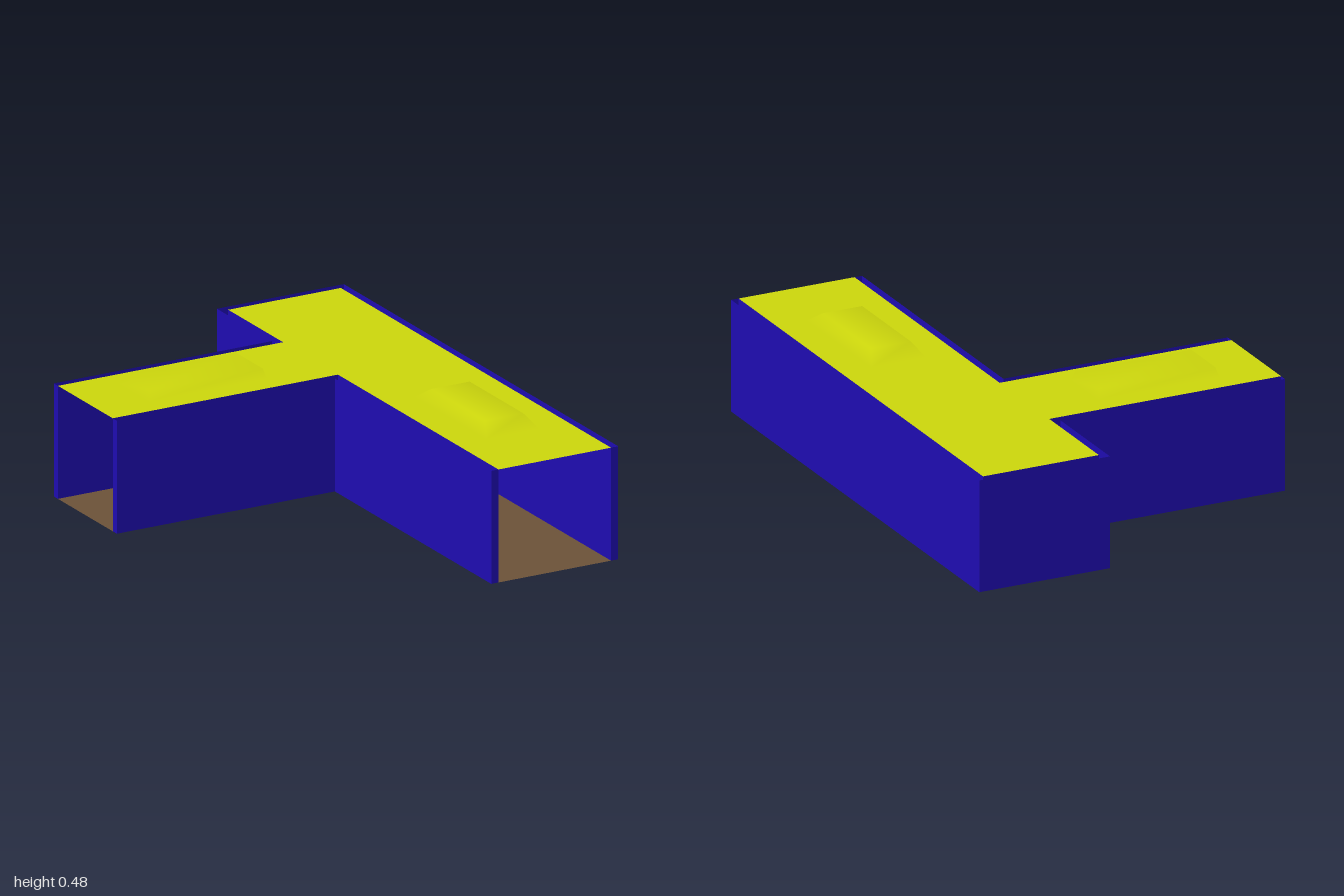
import * as THREE from 'three';
import { mergeVertices } from 'three/addons/utils/BufferGeometryUtils.js';

const H = 0.435; // wall height
const T = 0.03; // wall thickness

const paint = (color) =>
  new THREE.MeshStandardMaterial({ color, side: THREE.DoubleSide });

function addMesh(parent, name, geometry, material) {
  const mesh = new THREE.Mesh(geometry, material);
  mesh.name = name;
  parent.add(mesh);
  return mesh;
}

// T-shaped plan of the passage, as [x, z] corners, open at the front and at the arm's end
const inner = [
  [0.69, 1], [0.69, -1 + T], [0.22, -1 + T], [0.22, -0.57], [-0.72, -0.57],
  [-0.72, -0.17], [0.22, -0.17], [0.22, 1],
];

// Flat slab facing up or down, cut to the passage plan
function slab(y) {
  const shape = new THREE.Shape(inner.map(([x, z]) => new THREE.Vector2(x, -z)));
  return new THREE.ShapeGeometry(shape).rotateX(-Math.PI / 2).translate(0, y, 0);
}

// Hollow wall: upright faces only, around a closed plan outline
function wall(outline) {
  const pos = [];
  outline.forEach(([x0, z0], i) => {
    const [x1, z1] = outline[(i + 1) % outline.length];
    pos.push(x0, 0, z0, x1, 0, z1, x1, H, z1, x0, 0, z0, x1, H, z1, x0, H, z0);
  });
  const g = new THREE.BufferGeometry();
  g.setAttribute('position', new THREE.Float32BufferAttribute(pos, 3));
  g.computeVertexNormals();
  return g;
}

// Smooth-shaded raised panel with sloping sides that blends into the ceiling
function raisedPanel(width, depth, height, insetX, insetZ) {
  let g = new THREE.BoxGeometry(width, height, depth).translate(0, height / 2, 0);
  g.deleteAttribute('normal');
  g.deleteAttribute('uv');
  g = mergeVertices(g);
  const p = g.attributes.position;
  for (let i = 0; i < p.count; i++) {
    if (p.getY(i) < height / 2) continue;
    p.setX(i, p.getX(i) - Math.sign(p.getX(i)) * insetX);
    p.setZ(i, p.getZ(i) - Math.sign(p.getZ(i)) * insetZ);
  }
  g.computeVertexNormals();
  for (let i = 0; i < p.count; i++) {
    if (p.getY(i) < height / 2) g.attributes.normal.setXYZ(i, 0, 1, 0);
  }
  return g;
}

export function createModel() {
  const model = new THREE.Group();
  model.name = 'corridorJunction';
  const blue = paint(0x1f0cb0);
  const yellow = paint(0xccd60c);
  const brown = paint(0x6b5238);

  addMesh(model, 'floor', slab(0), brown);
  addMesh(model, 'ceiling', slab(H), yellow);

  // Outer wall runs round the long side, the back end and the arm's back side
  addMesh(model, 'outerWall', wall([
    ...inner.slice(0, 5),
    [-0.72, -0.57 - T], [0.22 - T, -0.57 - T], [0.22 - T, -1], [0.69 + T, -1], [0.69 + T, 1],
  ]), blue);

  // Corner wall joins the arm's front side to the main passage
  addMesh(model, 'cornerWall', wall([
    ...inner.slice(5),
    [0.22 - T, 1], [0.22 - T, -0.17 + T], [-0.72, -0.17 + T],
  ]), blue);

  // Raised ceiling panels
  addMesh(model, 'armCeilingPanel', raisedPanel(0.49, 0.22, 0.037, 0.01, 0.012), yellow)
    .position.set(-0.27, H, -0.37);
  addMesh(model, 'mainCeilingPanel', raisedPanel(0.22, 0.52, 0.045, 0.03, 0.065), yellow)
    .position.set(0.455, H, 0.435);
  return model;
}
